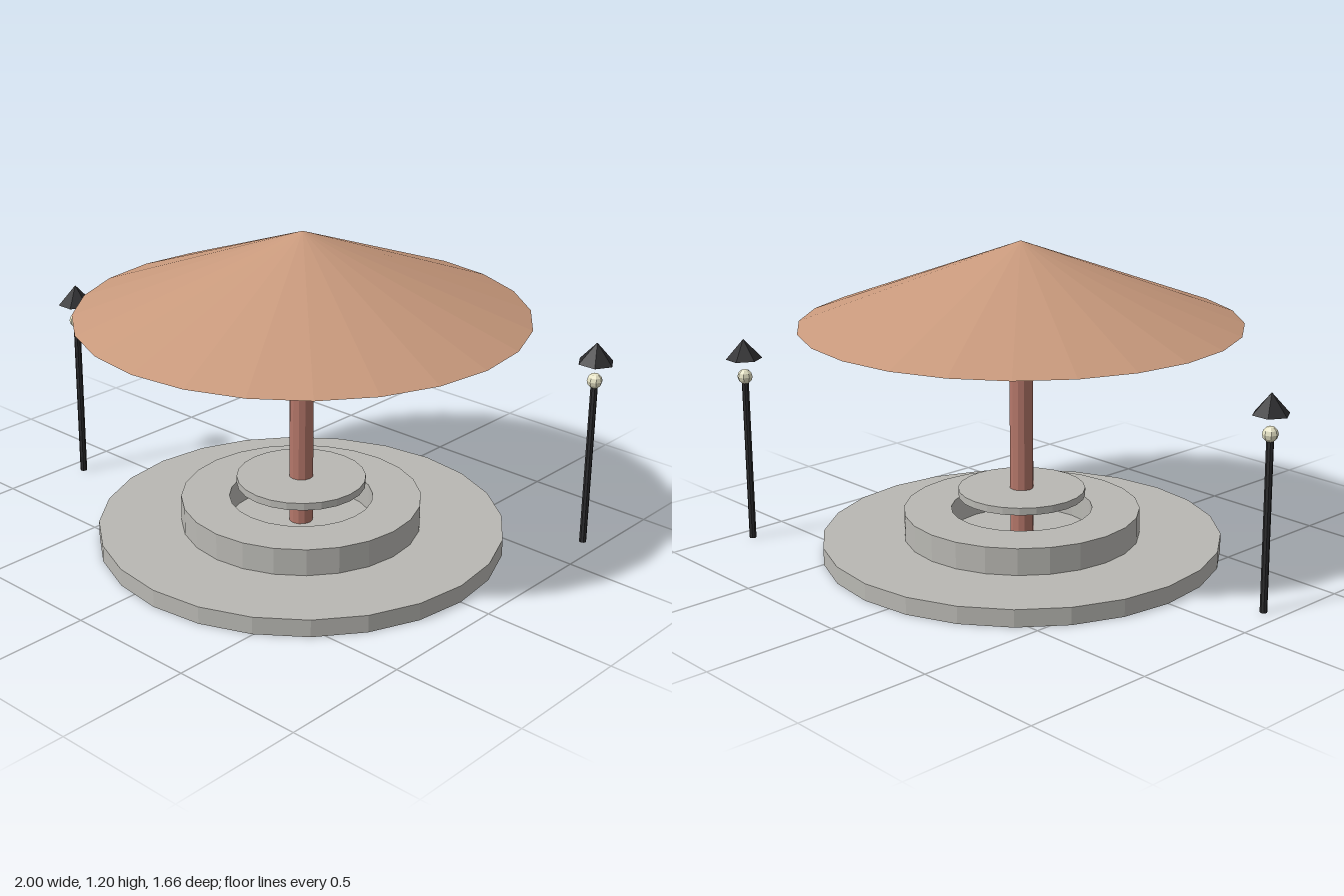
import * as THREE from 'three';

const material = (color) => new THREE.MeshStandardMaterial({ color, flatShading: true });

export function createModel() {
  const model = new THREE.Group();
  const stone = material(0xb9b8b3);
  const roofMat = material(0xc8997c);
  const columnMat = material(0xb5776a);
  const iron = material(0x2c2c2e);
  const glass = material(0xe6e3c6);

  const add = (parent, name, geometry, mat, y = 0) => {
    const mesh = new THREE.Mesh(geometry, mat);
    mesh.name = name;
    mesh.position.y = y;
    parent.add(mesh);
    return mesh;
  };
  // Upright cylinder given by its bottom and top heights
  const disc = (parent, name, r, y0, y1, sides, mat) =>
    add(parent, name, new THREE.CylinderGeometry(r, r, y1 - y0, sides), mat, (y0 + y1) / 2);

  // Pavilion: stepped stone base, column and conical roof
  const pavilion = new THREE.Group();
  pavilion.name = 'pavilion';
  pavilion.position.x = 0.115;
  model.add(pavilion);

  disc(pavilion, 'basePlatform', 0.764, 0, 0.066, 24, stone);

  // Raised step with an open well in the middle
  const ring = [[0.452, 0.066], [0.452, 0.169], [0.27, 0.169], [0.27, 0.066]]
    .map(([x, y]) => new THREE.Vector2(x, y));
  add(pavilion, 'stepRing', new THREE.LatheGeometry(ring, 24), stone);

  disc(pavilion, 'column', 0.0455, 0.066, 0.737, 12, columnMat);
  disc(pavilion, 'tableDisc', 0.243, 0.22, 0.248, 24, stone);
  add(pavilion, 'roof', new THREE.ConeGeometry(0.83, 0.308, 24), roofMat, 1.049);

  // Lamp posts
  for (const [name, x, z] of [['leftLamp', 0.93, -0.685], ['rightLamp', -0.93, 0.185]]) {
    const lamp = new THREE.Group();
    lamp.name = name;
    lamp.position.set(x, 0, z);
    disc(lamp, 'post', 0.0135, 0, 0.63, 8, iron);
    add(lamp, 'bulb', new THREE.SphereGeometry(0.029, 8, 6), glass, 0.654);
    const cap = add(lamp, 'cap', new THREE.ConeGeometry(0.069, 0.077, 6), iron, 0.763);
    cap.rotation.y = Math.PI / 6;
    model.add(lamp);
  }
  return model;
}
